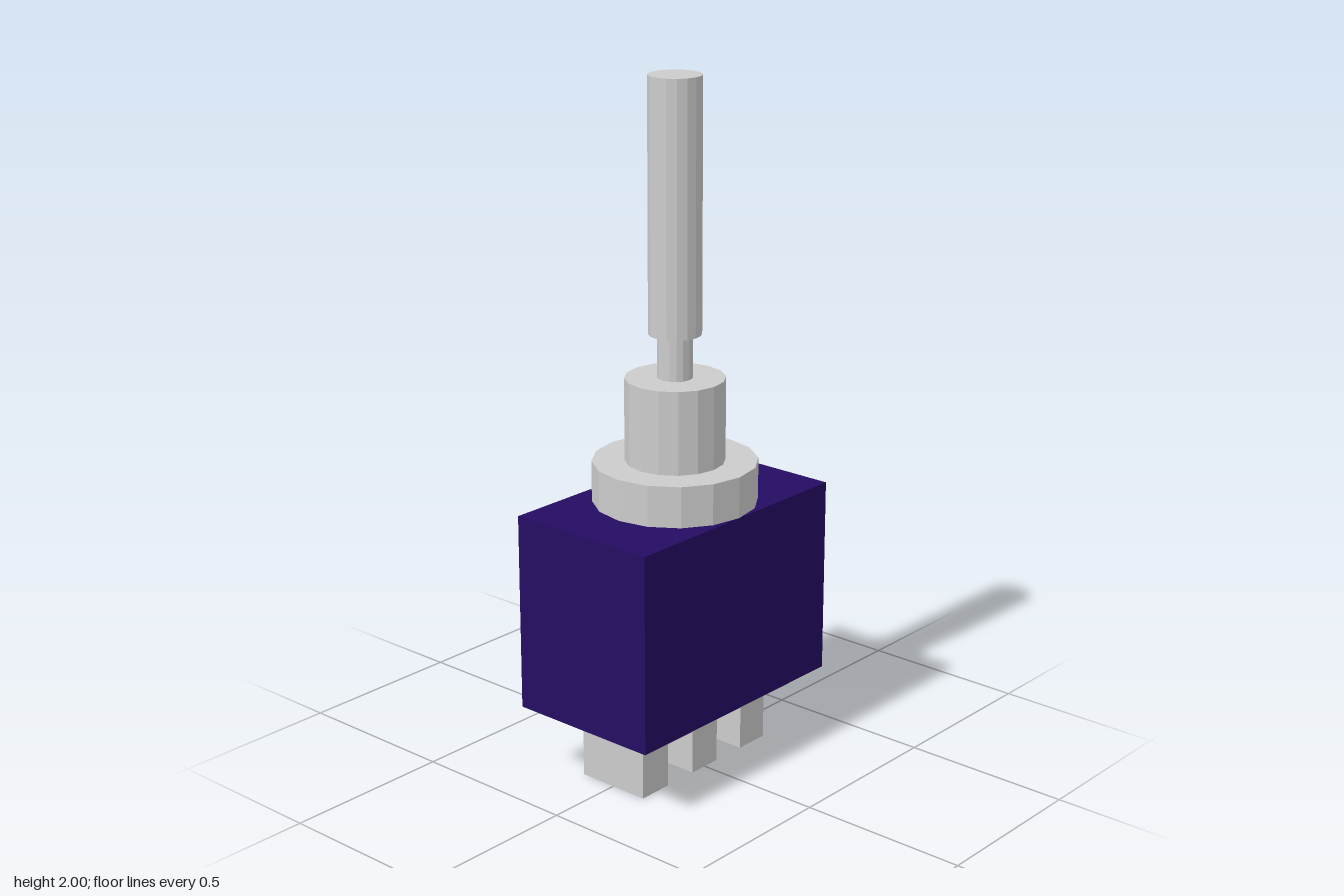
import * as THREE from 'three';

const metal = new THREE.MeshStandardMaterial({ color: 0xcccccc, flatShading: true });
metal.name = 'lightGreyMetal';
const plastic = new THREE.MeshStandardMaterial({ color: 0x250c63, flatShading: true });
plastic.name = 'deepBluePlastic';

export function createModel() {
  const group = new THREE.Group();
  group.name = 'toggleSwitch';

  const add = (name, geometry, material, y0, y1, z = 0) => {
    const mesh = new THREE.Mesh(geometry, material);
    mesh.name = name;
    mesh.position.set(0, (y0 + y1) / 2, z);
    group.add(mesh);
  };
  const box = (name, material, w, d, y0, y1, z) =>
    add(name, new THREE.BoxGeometry(w, y1 - y0, d), material, y0, y1, z);
  const rod = (name, r, y0, y1) =>
    add(name, new THREE.CylinderGeometry(r, r, y1 - y0, 16), metal, y0, y1);

  // Housing
  box('housing', plastic, 0.47, 0.782, 0.22, 0.798);

  // Three terminals under the housing
  ['backTerminal', 'middleTerminal', 'frontTerminal'].forEach((name, i) =>
    box(name, metal, 0.228, 0.107, 0, 0.22, (i - 1) * 0.214));

  // Stacked round parts, from collar to lever
  rod('collar', 0.235, 0.798, 0.917);
  rod('bushing', 0.142, 0.917, 1.158);
  rod('leverNeck', 0.05, 1.158, 1.283);
  rod('lever', 0.075, 1.283, 2);

  return group;
}
